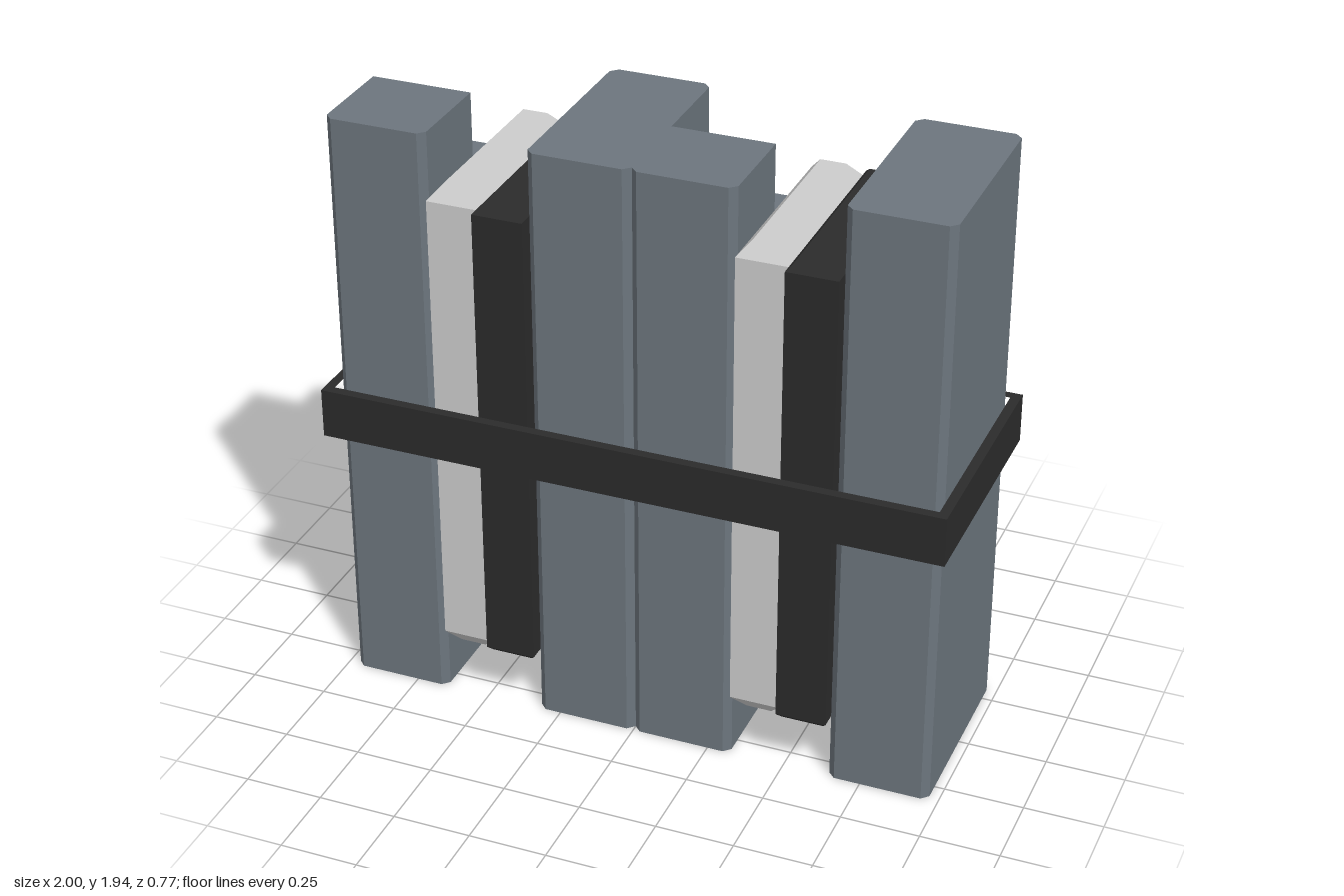
import * as THREE from 'three';

const slate = new THREE.MeshStandardMaterial({ color: 0x6c757d });
slate.name = 'slate grey';
const black = new THREE.MeshStandardMaterial({ color: 0x2b2b2b });
black.name = 'black';
const pale = new THREE.MeshStandardMaterial({ color: 0xcccccc });
pale.name = 'pale grey';

const H = 1.94, MID = H / 2, CELL = 0.323;

function add(group, name, geometry, material, x = 0, y = 0, z = 0) {
  const mesh = new THREE.Mesh(geometry, material);
  mesh.name = name;
  mesh.position.set(x, y, z);
  group.add(mesh);
}

// upright extrusion of a plan given as [x, z] points
function upright(plan, y0, y1, hole) {
  const toShape = (pts) => pts.map(([x, z]) => new THREE.Vector2(x, -z));
  const shape = new THREE.Shape(toShape(plan));
  if (hole) shape.holes.push(new THREE.Path(toShape(hole)));
  return new THREE.ExtrudeGeometry(shape, { depth: y1 - y0, bevelEnabled: false })
    .rotateX(-Math.PI / 2).translate(0, y0, 0);
}

// rectangle plan with the back corners cut by cb and the front corners by cf
function cutPlan(x0, x1, z0, z1, cb, cf) {
  const pts = [];
  if (cb) pts.push([x0, z0 + cb], [x0 + cb, z0], [x1 - cb, z0], [x1, z0 + cb]);
  else pts.push([x0, z0], [x1, z0]);
  if (cf) pts.push([x1, z1 - cf], [x1 - cf, z1], [x0 + cf, z1], [x0, z1 - cf]);
  else pts.push([x1, z1], [x0, z1]);
  return pts;
}

// block whose top and bottom rims slope inward by c over a height h
function slopedBlock(w, height, d, c, h) {
  const g = new THREE.BoxGeometry(w, height, d, 1, 3, 1);
  const p = g.attributes.position;
  for (let i = 0; i < p.count; i++) {
    const x = p.getX(i), y = p.getY(i), z = p.getZ(i), s = Math.sign(y);
    if (Math.abs(y) > height * 0.4) {
      p.setXYZ(i, x - Math.sign(x) * c, y, z - Math.sign(z) * c);
    } else p.setY(i, s * (height / 2 - h));
  }
  const flat = g.toNonIndexed();
  flat.computeVertexNormals();
  return flat;
}

export function createModel() {
  const model = new THREE.Group();
  model.name = 'strappedColumnBundle';
  const c = 0.022;

  // columns: two run full depth, two have a shorter rear half
  const columns = [[-0.968, false], [-CELL, true], [0, false], [0.645, true]];
  for (const [x, fullDepth] of columns) {
    const x1 = x + CELL;
    if (fullDepth) {
      add(model, 'fullColumn', upright(cutPlan(x, x1, -CELL, CELL, c, c), 0, H), slate);
    } else {
      add(model, 'frontColumn', upright(cutPlan(x, x1, 0, CELL, 0, c), 0, H), slate);
      add(model, 'shortRearColumn', upright(cutPlan(x, x1, -CELL, 0, c, 0), CELL, H - CELL), slate);
    }
  }

  // pale and black slabs between the columns
  for (const x of [-0.645, CELL]) {
    add(model, 'paleSlab', slopedBlock(0.161, 1.61, 0.646, 0.04, 0.048), pale, x + 0.0805, MID);
    add(model, 'blackSlab', slopedBlock(0.161, 1.545, 0.71, 0.015, 0.015), black, x + 0.2415, MID);
  }

  // strap around the whole bundle
  add(model, 'strap', upright(
    cutPlan(-1, 1, -0.387, 0.387, 0, 0), MID - 0.08, MID + 0.08,
    cutPlan(-0.969, 0.969, -0.356, 0.356, 0, 0)), black);
  return model;
}
